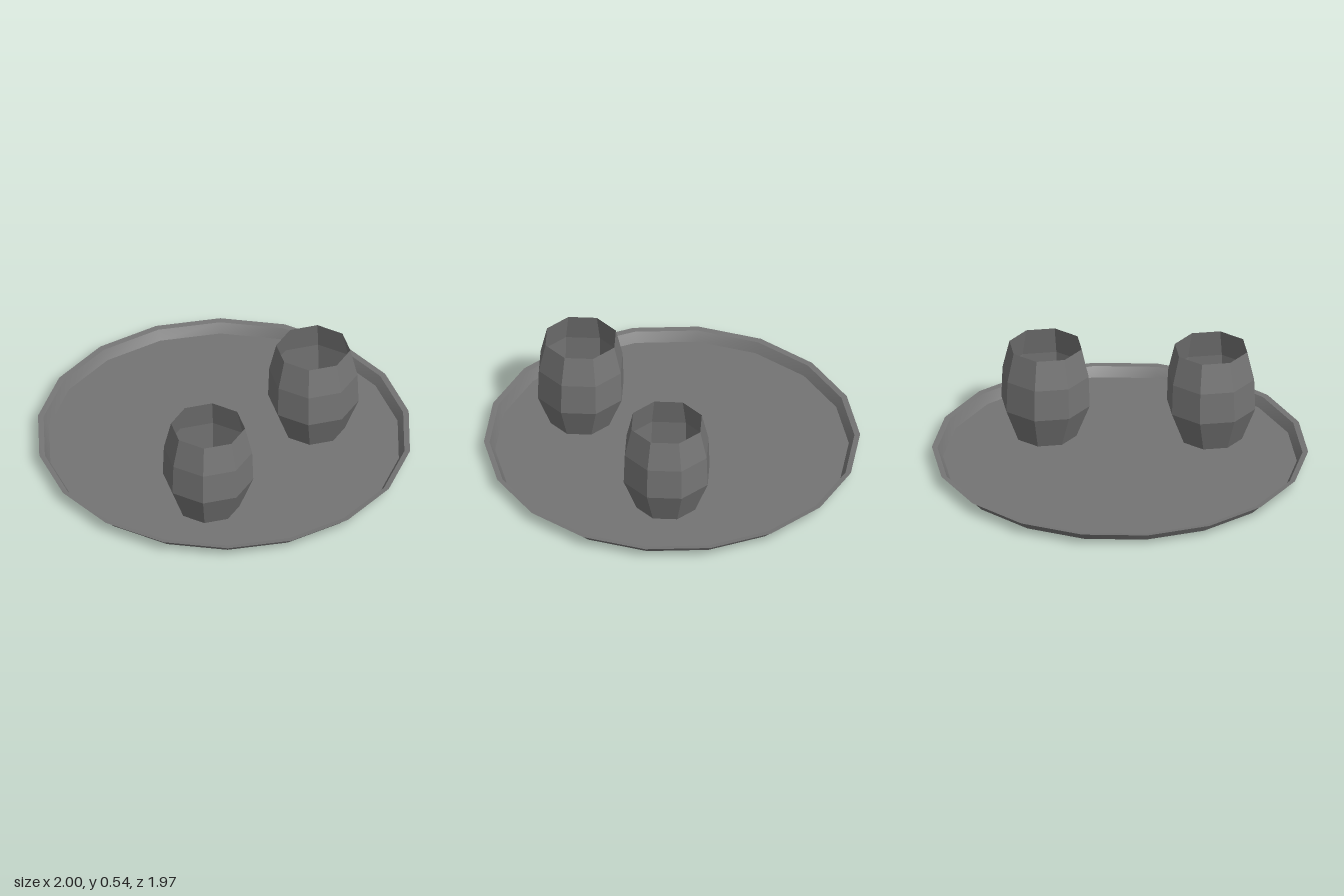
import * as THREE from 'three';
import { toCreasedNormals } from 'three/addons/utils/BufferGeometryUtils.js';

const material = new THREE.MeshStandardMaterial({ color: 0x747474, side: THREE.DoubleSide });

// Thin shell turned around the y axis from [radius, height] pairs;
// edges sharper than the crease angle stay hard
function turned(name, profile, sides, startAngle, crease) {
  const points = profile.map(([r, y]) => new THREE.Vector2(r, y));
  const lathe = new THREE.LatheGeometry(points, sides, startAngle);
  const mesh = new THREE.Mesh(toCreasedNormals(lathe, crease), material);
  mesh.name = name;
  return mesh;
}

export function createModel() {
  const model = new THREE.Group();
  model.name = 'trayWithCups';

  // Round tray: slightly dished floor, smooth sloping wall and flat lip
  model.add(turned('tray',
    [[0, 0], [0.94, 0.01], [0.97, 0.062], [1, 0.066]], 18, Math.PI / 2, Math.PI / 6));

  // Octagonal barrel-shaped cups, open at the top; widths are across the flats
  const acrossCorners = 1 / Math.cos(Math.PI / 8);
  const cupProfile = [[0, 0.013], [0.156, 0.013], [0.2235, 0.2], [0.218, 0.375], [0.183, 0.535]]
    .map(([r, y]) => [r * acrossCorners, y]);

  for (const [name, x, z] of [['frontCup', 0.188, 0.517], ['backCup', 0.35, -0.348]]) {
    const cup = turned(name, cupProfile, 8, Math.PI / 8, 0.1);
    cup.position.set(x, 0, z);
    model.add(cup);
  }
  return model;
}
